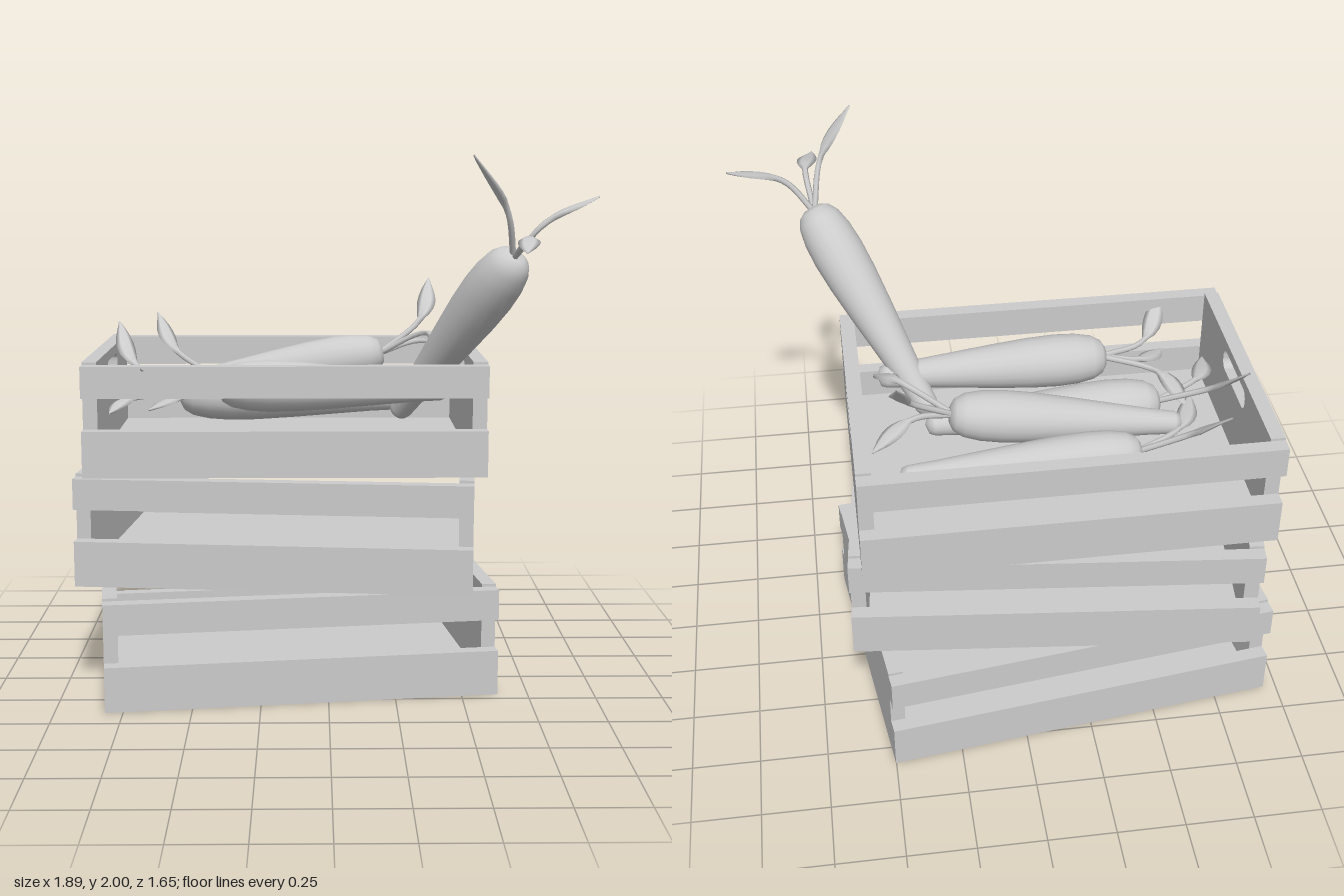
import * as THREE from 'three';

const mat = new THREE.MeshStandardMaterial({ color: 0xcccccc });
const leafMat = new THREE.MeshStandardMaterial({ color: 0xcccccc, side: THREE.DoubleSide });
const V = (x, y, z) => new THREE.Vector3(x, y, z);
const UP = V(0, 1, 0);

function add(parent, name, geometry, x = 0, y = 0, z = 0, material = mat) {
  const m = new THREE.Mesh(geometry, material);
  m.name = name;
  m.position.set(x, y, z);
  parent.add(m);
}

// Crate length, width, height and board thickness
const L = 1.465, W = 1.04, H = 0.415, T = 0.053;

// End board with a rounded hand slot
function endPanelGeometry() {
  const w = W / 2 - T;
  const s = new THREE.Shape();
  s.moveTo(-w, 0).lineTo(w, 0).lineTo(w, H).lineTo(-w, H).closePath();
  const a = 0.15, b = 0.04, r = 0.032, cy = 0.337;
  const slot = new THREE.Path();
  slot.absarc(a - r, cy - b + r, r, -Math.PI / 2, 0);
  slot.absarc(a - r, cy + b - r, r, 0, Math.PI / 2);
  slot.absarc(r - a, cy + b - r, r, Math.PI / 2, Math.PI);
  slot.absarc(r - a, cy - b + r, r, Math.PI, Math.PI * 1.5);
  s.holes.push(slot);
  const g = new THREE.ExtrudeGeometry(s, { depth: T, bevelEnabled: false, curveSegments: 3 });
  return g.translate(0, 0, -T / 2).rotateY(Math.PI / 2);
}

function makeCrate(name, y, angle) {
  const crate = new THREE.Group();
  crate.name = name;
  for (const side of [-1, 1]) {
    add(crate, 'endPanel', endPanelGeometry(), side * (L - T) / 2);
    const z = side * (W - T) / 2;
    add(crate, 'lowerSlat', new THREE.BoxGeometry(L, 0.17, T), 0, 0.085, z);
    add(crate, 'upperSlat', new THREE.BoxGeometry(L, 0.115, T), 0, 0.3475, z);
  }
  add(crate, 'floor', new THREE.BoxGeometry(L - 2 * T, 0.06, W - 2 * T), 0, 0.03, 0);
  crate.position.set(-0.157, y, -0.217);
  crate.rotation.y = angle;
  return crate;
}

// Root outline from tip to crown: radius, height as a fraction of the length
const profile = [[0, 0], [0.036, 0.015], [0.044, 0.04], [0.051, 0.15], [0.066, 0.32], [0.082, 0.5],
  [0.094, 0.66], [0.098, 0.78], [0.094, 0.87], [0.082, 0.94], [0.062, 0.98], [0.035, 0.998], [0, 1]];

function rootGeometry(crown, tip, scale) {
  const axis = crown.clone().sub(tip);
  const len = axis.length();
  const g = new THREE.LatheGeometry(profile.map(([r, t]) => new THREE.Vector2(r * scale, t * len)), 20);
  g.applyQuaternion(new THREE.Quaternion().setFromUnitVectors(UP, axis.normalize()));
  return g.translate(tip.x, tip.y, tip.z);
}

// Thin stem widening into a flat pointed blade, lofted along a curve
function leafGeometry(base, bend, tip) {
  const curve = new THREE.CatmullRomCurve3([base, bend, tip]);
  const rings = 14, sides = 6, start = 0.5, pos = [], idx = [];
  for (let i = 0; i <= rings; i++) {
    const t = i / rings;
    const p = curve.getPointAt(t), tan = curve.getTangentAt(t);
    const across = V().crossVectors(tan, UP).normalize();
    const up = V().crossVectors(across, tan);
    const k = Math.max(0, (t - start) / (1 - start));
    const w = 0.011 * (1 - k * 0.8) + 0.03 * Math.sin(Math.PI * Math.pow(k, 0.85));
    const h = 0.011 * (1 - k * 0.7);
    for (let j = 0; j < sides; j++) {
      const a = (j / sides) * Math.PI * 2;
      const q = p.clone().addScaledVector(across, Math.cos(a) * w).addScaledVector(up, Math.sin(a) * h);
      pos.push(q.x, q.y, q.z);
      if (i < rings) {
        const n = (j + 1) % sides, r0 = i * sides, r1 = r0 + sides;
        idx.push(r0 + j, r1 + j, r0 + n, r0 + n, r1 + j, r1 + n);
      }
    }
  }
  const g = new THREE.BufferGeometry();
  g.setAttribute('position', new THREE.Float32BufferAttribute(pos, 3));
  g.setIndex(idx);
  g.computeVertexNormals();
  return g;
}

// Each leaf is given by its bend and its tip
function makeCarrot(crown, tip, scale, leaves) {
  const carrot = new THREE.Group();
  carrot.name = 'carrot';
  add(carrot, 'root', rootGeometry(crown, tip, scale));
  const base = crown.clone().lerp(tip, 0.02);
  for (const [bend, end] of leaves) add(carrot, 'leaf', leafGeometry(base, bend, end), 0, 0, 0, leafMat);
  return carrot;
}

export function createModel() {
  const model = new THREE.Group();
  model.name = 'stackedCratesWithCarrots';
  model.add(makeCrate('bottomCrate', 0, 0.13));
  model.add(makeCrate('middleCrate', 0.43, -0.101));
  model.add(makeCrate('topCrate', 0.853, 0));

  // Back carrot
  model.add(makeCarrot(V(-0.44, 1.1, -0.48), V(0.42, 1.07, -0.475), 0.92, [
    [V(-0.62, 1.22, -0.55), V(-0.7, 1.36, -0.67)],
    [V(-0.61, 1.1, -0.36), V(-0.69, 1.1, -0.17)],
  ]));
  // Carrot lying the other way round
  model.add(makeCarrot(V(0.225, 1.23, -0.345), V(-0.62, 1.1, -0.335), 0.95, [
    [V(0.38, 1.36, -0.43), V(0.42, 1.51, -0.57)],
    [V(0.36, 1.27, -0.41), V(0.51, 1.23, -0.53)],
    [V(0.39, 1.32, -0.25), V(0.47, 1.22, -0.05)],
  ]));
  // Middle carrot
  model.add(makeCarrot(V(-0.57, 1.09, -0.18), V(0.3, 1.07, -0.18), 1, [
    [V(-0.76, 1.2, -0.27), V(-0.83, 1.35, -0.41)],
    [V(-0.75, 1.09, -0.05), V(-0.81, 1.06, 0.12)],
  ]));
  // Front carrot
  model.add(makeCarrot(V(-0.41, 1.155, 0.045), V(0.455, 1.14, 0.045), 1, [
    [V(-0.56, 1.11, 0.07), V(-0.66, 1.08, 0.17)],
    [V(-0.58, 1.15, 0.14), V(-0.67, 1.25, 0.31)],
    [V(-0.6, 1.12, -0.04), V(-0.66, 1.1, -0.24)],
  ]));
  // Carrot leaning out over the front corner
  model.add(makeCarrot(V(0.645, 1.66, 0.425), V(0.265, 1.03, -0.06), 1, [
    [V(0.74, 1.77, 0.44), V(0.94, 1.86, 0.36)],
    [V(0.6, 1.82, 0.51), V(0.48, 2, 0.56)],
    [V(0.66, 1.725, 0.61), V(0.63, 1.69, 0.82)],
  ]));
  return model;
}
